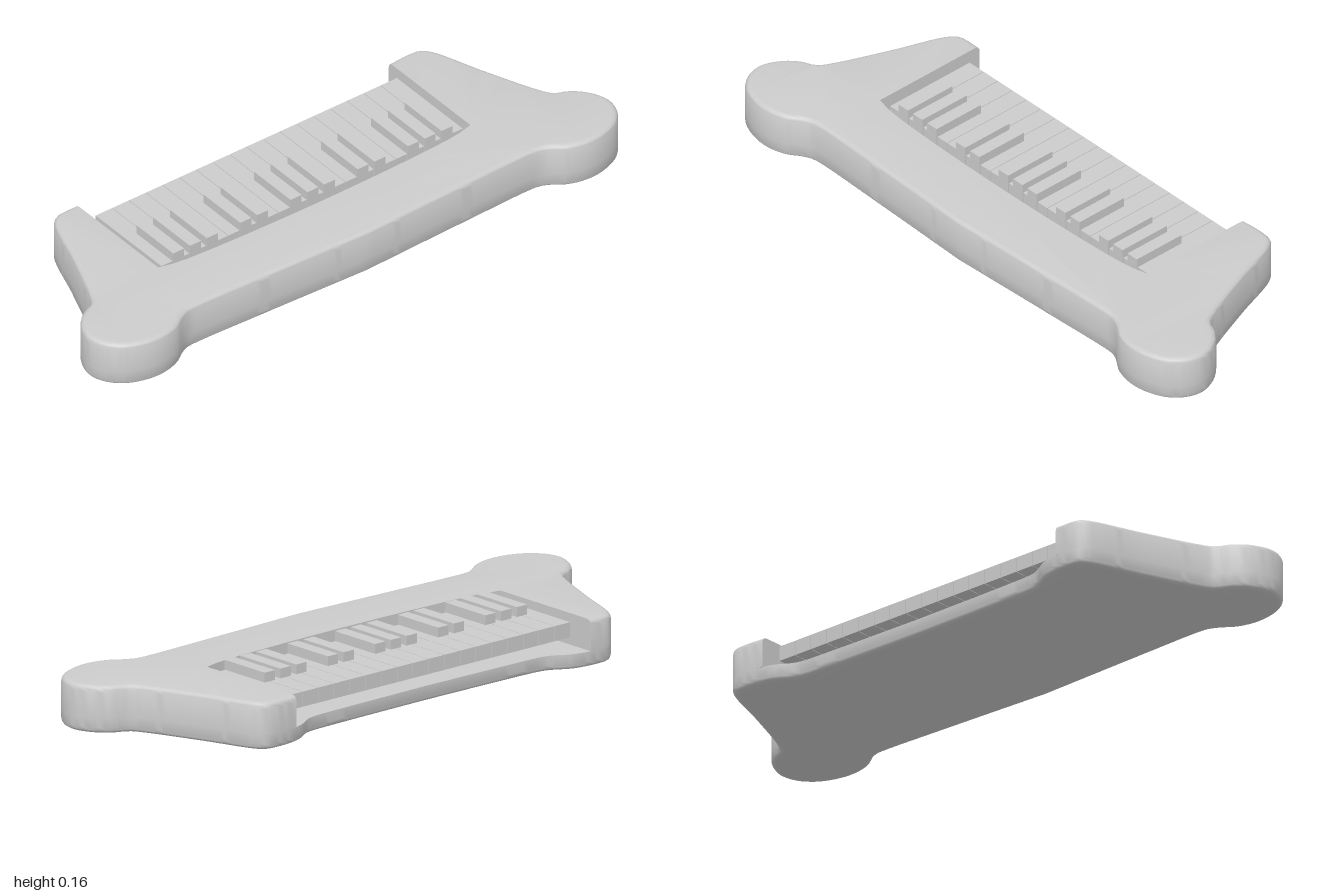
import * as THREE from 'three';
import { toCreasedNormals } from 'three/addons/utils/BufferGeometryUtils.js';

const HEIGHT = 0.15, FLOOR = 0.05, ROUND = 0.018;
const NOTCH_LEFT = 0.58, NOTCH_RIGHT = -0.615;
const material = new THREE.MeshStandardMaterial({ color: 0xcccccc });

// Half of the body outline as (x, z), from the middle of the back to the middle of the front
const halfPoints = [
  [0, -0.285], [0.34, -0.29], [0.47, -0.296], [0.5, -0.306], [0.55, -0.335], [0.6, -0.347],
  [0.65, -0.35], [0.695, -0.345], [0.722, -0.32], [0.79, -0.142], [0.86, 0.03], [0.885, 0.073],
  [0.93, 0.095], [0.975, 0.14], [1, 0.205], [0.988, 0.262], [0.945, 0.312], [0.88, 0.34],
  [0.815, 0.346], [0.75, 0.33], [0.705, 0.3], [0.675, 0.286], [0.64, 0.283], [0.4, 0.29], [0, 0.305],
];

// Closed outline; every point carries its inward direction (nx, nz)
function bodyOutline() {
  const curve = new THREE.CatmullRomCurve3(halfPoints.map(([x, z]) => new THREE.Vector3(x, 0, z)));
  const n = 130, half = [];
  for (let i = 0; i <= n; i++) {
    const p = curve.getPointAt(i / n), t = curve.getTangentAt(i / n);
    const middle = i === 0 || i === n;
    half.push({ x: p.x, z: p.z, nx: middle ? 0 : -t.z, nz: middle ? (i ? -1 : 1) : t.x });
  }
  const mirrored = half.slice(1, -1).reverse().map(p => ({ x: -p.x, z: p.z, nx: -p.nx, nz: p.nz }));
  return [...half, ...mirrored];
}

// Outline with the key bay cut in from the back
function notchedOutline(outline) {
  const kept = outline.filter(p => p.z > 0 || p.x > NOTCH_LEFT || p.x < NOTCH_RIGHT);
  kept[0] = { ...kept[0], x: NOTCH_LEFT, nx: 0 };
  kept[kept.length - 1] = { ...kept[kept.length - 1], x: NOTCH_RIGHT, nx: 0 };
  const steps = 24;
  for (let i = 0; i <= steps; i++) {
    const s = i / steps, u = 2 * s - 1;
    const x = NOTCH_RIGHT + (NOTCH_LEFT - NOTCH_RIGHT) * s;
    kept.push({ x, z: 0.092 - 0.018 * u * u - 0.014 * u ** 12, nx: 0, nz: 0 });
  }
  return kept;
}

// Stacks inset copies of an outline and caps both ends; levels are [y, inset]
function loft(outline, levels) {
  const n = outline.length, positions = [], index = [];
  for (const [y, inset] of levels) {
    for (const p of outline) positions.push(p.x + p.nx * inset, y, p.z + p.nz * inset);
  }
  for (let l = 0; l < levels.length - 1; l++) {
    for (let i = 0; i < n; i++) {
      const a = l * n + i, b = l * n + (i + 1) % n;
      index.push(a, a + n, b + n, a, b + n, b);
    }
  }
  for (const [level, up] of [[0, false], [levels.length - 1, true]]) {
    const base = level * n;
    const ring = outline.map((_, i) =>
      new THREE.Vector2(positions[3 * (base + i)], positions[3 * (base + i) + 2]));
    for (const [a, b, c] of THREE.ShapeUtils.triangulateShape(ring, [])) {
      const cross = ring[b].clone().sub(ring[a]).cross(ring[c].clone().sub(ring[a]));
      const facesUp = cross < 0;
      if (facesUp === up) index.push(base + a, base + b, base + c);
      else index.push(base + a, base + c, base + b);
    }
  }
  const geometry = new THREE.BufferGeometry();
  geometry.setAttribute('position', new THREE.Float32BufferAttribute(positions, 3));
  geometry.setIndex(index);
  return toCreasedNormals(geometry, 0.6);
}

// Quarter-round edge levels, from the side wall to the flat face at faceY
function roundEdge(faceY, direction) {
  const levels = [];
  for (let i = 0; i <= 4; i++) {
    const a = (i / 4) * Math.PI / 2;
    levels.push([faceY - direction * ROUND * (1 - Math.sin(a)), ROUND * (1 - Math.cos(a))]);
  }
  return levels;
}

function addMesh(parent, name, geometry) {
  const mesh = new THREE.Mesh(geometry, material);
  mesh.name = name;
  parent.add(mesh);
  return mesh;
}

function addBox(parent, name, [x0, x1], [y0, y1], [z0, z1]) {
  const mesh = addMesh(parent, name, new THREE.BoxGeometry(x1 - x0, y1 - y0, z1 - z0));
  mesh.position.set((x0 + x1) / 2, (y0 + y1) / 2, (z0 + z1) / 2);
}

export function createModel() {
  const model = new THREE.Group();
  model.name = 'keyboard';

  // Body: a full base slab and an upper shell open at the back for the keys
  const outline = bodyOutline();
  addMesh(model, 'baseSlab', loft(outline, [...roundEdge(0, -1).reverse(), [FLOOR, 0]]));
  addMesh(model, 'upperShell', loft(notchedOutline(outline), [[FLOOR, 0], ...roundEdge(HEIGHT, 1)]));

  // White keys, raised above the floor of the bay
  const whiteKeys = new THREE.Group();
  whiteKeys.name = 'whiteKeys';
  const start = -0.59, pitch = 0.0642, gap = 0.001;
  for (let i = 0; i < 18; i++) {
    const x = start + i * pitch;
    addBox(whiteKeys, 'whiteKey', [x + gap, x + pitch - gap], [0.085, 0.133], [-0.285, 0.042]);
  }

  // Black keys, centred on the joints between white keys
  const blackKeys = new THREE.Group();
  blackKeys.name = 'blackKeys';
  for (const joint of [1, 2, 3, 5, 6, 8, 9, 10, 12, 13, 15, 16, 17]) {
    const x = start + joint * pitch;
    addBox(blackKeys, 'blackKey', [x - 0.021, x + 0.021], [0.1, 0.164], [-0.137, 0.046]);
  }
  model.add(whiteKeys, blackKeys);
  return model;
}
